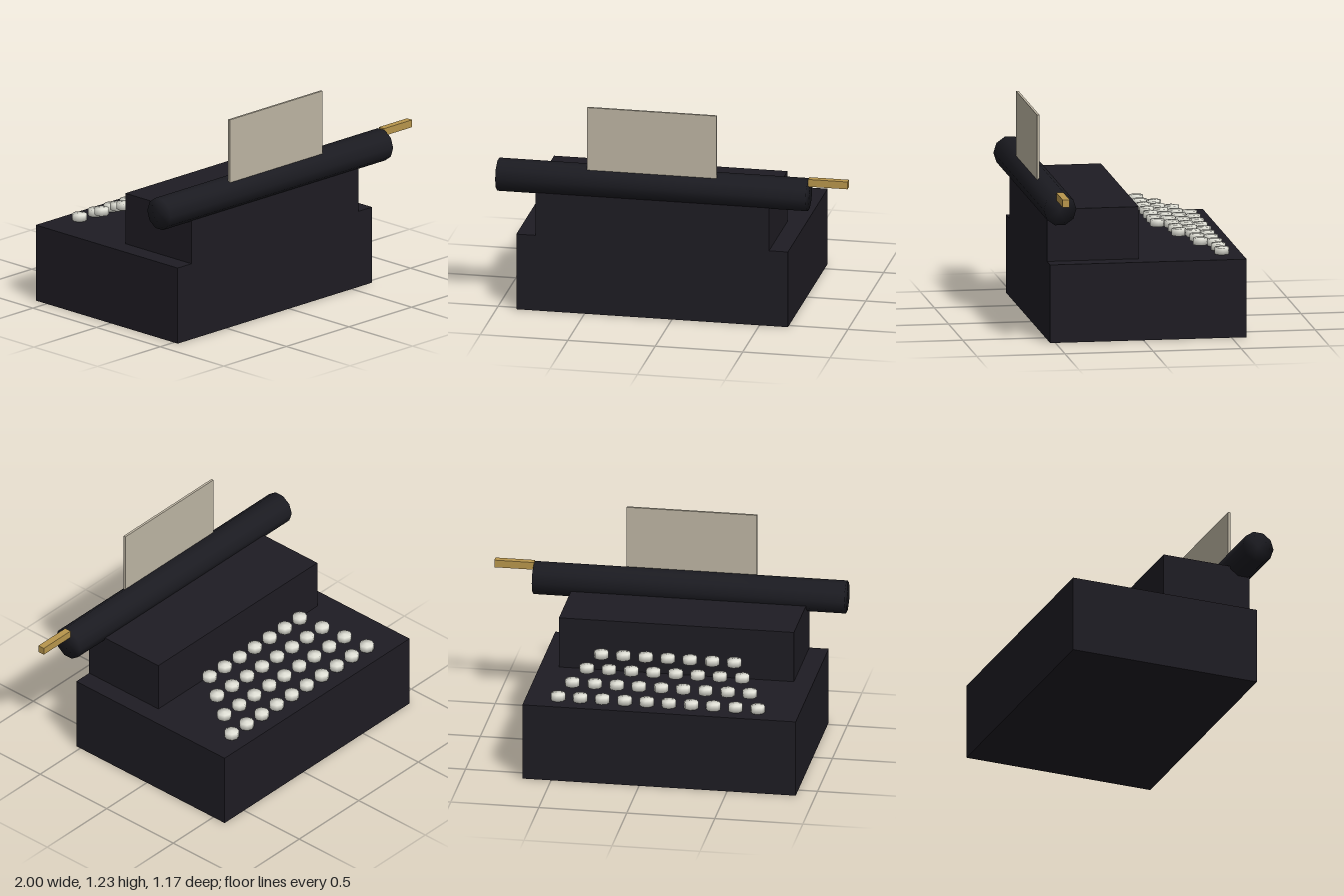
import * as THREE from 'three';
import { mergeVertices } from 'three/addons/utils/BufferGeometryUtils.js';

const mat = (color) => new THREE.MeshStandardMaterial({ color });

// Box given by its extents along each axis
function box(name, [x0, x1], [y0, y1], [z0, z1], material) {
  const mesh = new THREE.Mesh(new THREE.BoxGeometry(x1 - x0, y1 - y0, z1 - z0), material);
  mesh.position.set((x0 + x1) / 2, (y0 + y1) / 2, (z0 + z1) / 2);
  mesh.name = name;
  return mesh;
}

// Cylinder with normals shared between side and caps, for a soft rim
function softCylinder(radius, height, sides) {
  const raw = new THREE.CylinderGeometry(radius, radius, height, sides);
  raw.deleteAttribute('normal');
  raw.deleteAttribute('uv');
  const geometry = mergeVertices(raw);
  geometry.computeVertexNormals();
  return geometry;
}

export function createModel() {
  const model = new THREE.Group();
  model.name = 'typewriter';
  const black = mat(0x1e1c23);
  const rubber = mat(0x1b1b21);
  const ivory = mat(0xe4e4da);
  const brass = mat(0xb8964c);
  const cream = mat(0xbdb5a3);

  // Body
  model.add(box('base', [-0.89, 0.663], [0, 0.445], [-0.585, 0.53], black));
  model.add(box('upperHousing', [-0.78, 0.555], [0.445, 0.742], [0.01, 0.53], black));

  // Carriage: roller, return lever and sheet of paper
  const roller = new THREE.Mesh(softCylinder(0.093, 1.775, 10), rubber);
  roller.rotation.z = Math.PI / 2;
  roller.position.set(-0.1125, 0.78, 0.492);
  roller.name = 'roller';
  model.add(roller);
  model.add(box('returnLever', [0.775, 1], [0.834, 0.877], [0.473, 0.513], brass));
  model.add(box('paper', [-0.483, 0.257], [0.8, 1.225], [0.525, 0.539], cream));

  // Keys: four staggered rows rising towards the housing
  const keys = new THREE.Group();
  keys.name = 'keys';
  const keyGeometry = softCylinder(0.041, 0.038, 8);
  const pitch = 0.126;
  for (let row = 0; row < 4; row++) {
    const count = 10 - row;
    for (let i = 0; i < count; i++) {
      const key = new THREE.Mesh(keyGeometry, ivory);
      key.position.set(-0.088 + (i - (count - 1) / 2) * pitch, 0.465 + row * 0.0444, -0.473 + row * 0.1115);
      key.name = 'key';
      keys.add(key);
    }
  }
  model.add(keys);
  return model;
}
